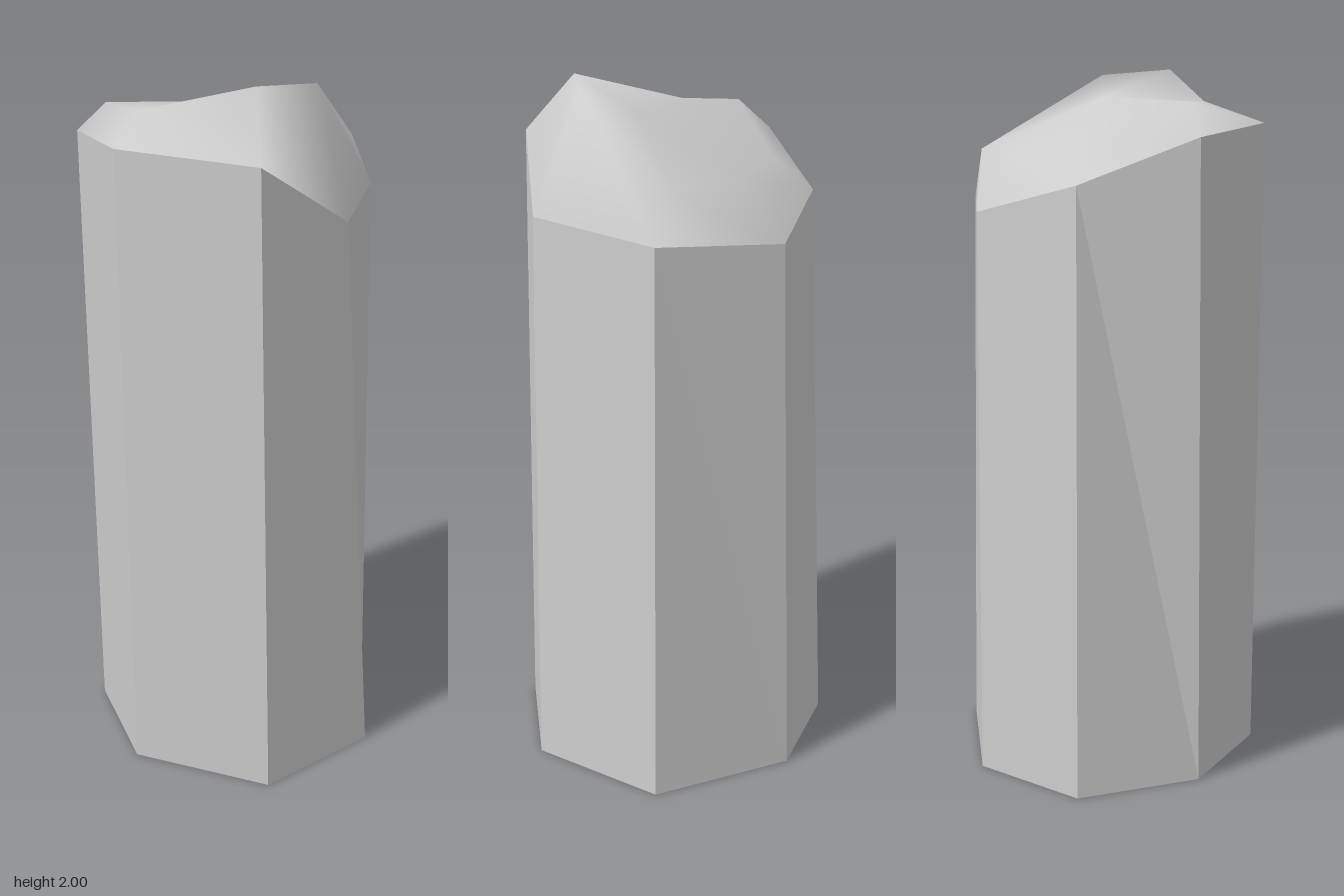
import * as THREE from 'three';

// Cross-sections of a seven-sided stone column, from +x round through +z
const base = [[0.435, 0, 0], [0.235, 0, 0.375], [-0.14, 0, 0.465], [-0.43, 0, 0.16],
  [-0.395, 0, -0.21], [-0.13, 0, -0.465], [0.215, 0, -0.375]];
const shoulder = [[0.41, 1.63, 0], [0.13, 1.64, 0.37], [-0.16, 1.83, 0.44], [-0.44, 1.845, 0.15],
  [-0.395, 1.81, -0.255], [-0.10, 1.685, -0.395], [0.23, 1.605, -0.33]];
const crown = [[0.365, 1.77, -0.04], [0.10, 1.985, 0.24], [-0.10, 2.0, 0.285], [-0.31, 1.905, 0],
  [-0.34, 1.9, -0.165], [-0.05, 1.79, -0.28], [0.17, 1.765, -0.20]];
const crownCentre = [0.03, 1.92, 0.1];

// Surface from rings of points, with an optional closing centre point
function loft(rings, centre) {
  const n = rings[0].length;
  const points = rings.flat();
  const index = [];
  for (let r = 0; r < rings.length; r++) {
    for (let i = 0; i < n; i++) {
      const a = r * n + i;
      const b = r * n + (i + 1) % n;
      if (r < rings.length - 1) index.push(a, a + n, b + n, a, b + n, b);
      else if (centre) index.push(a, points.length, b);
    }
  }
  if (centre) points.push(centre);
  const geometry = new THREE.BufferGeometry();
  geometry.setAttribute('position', new THREE.Float32BufferAttribute(points.flat(), 3));
  geometry.setIndex(index);
  geometry.computeVertexNormals();
  return geometry;
}

export function createModel() {
  const group = new THREE.Group();
  group.name = 'stoneColumn';
  const flat = new THREE.MeshStandardMaterial({ color: 0xcccccc, flatShading: true });
  const smooth = new THREE.MeshStandardMaterial({ color: 0xcccccc, side: THREE.DoubleSide });

  const add = (name, geometry, material) => {
    const mesh = new THREE.Mesh(geometry, material);
    mesh.name = name;
    group.add(mesh);
  };

  // Faceted sides, softly weathered top, flat underside
  add('sides', loft([base, shoulder]), flat);
  add('weatheredTop', loft([shoulder, crown], crownCentre), smooth);
  add('underside', loft([[...base].reverse()], [0, 0, 0]), flat);
  return group;
}
